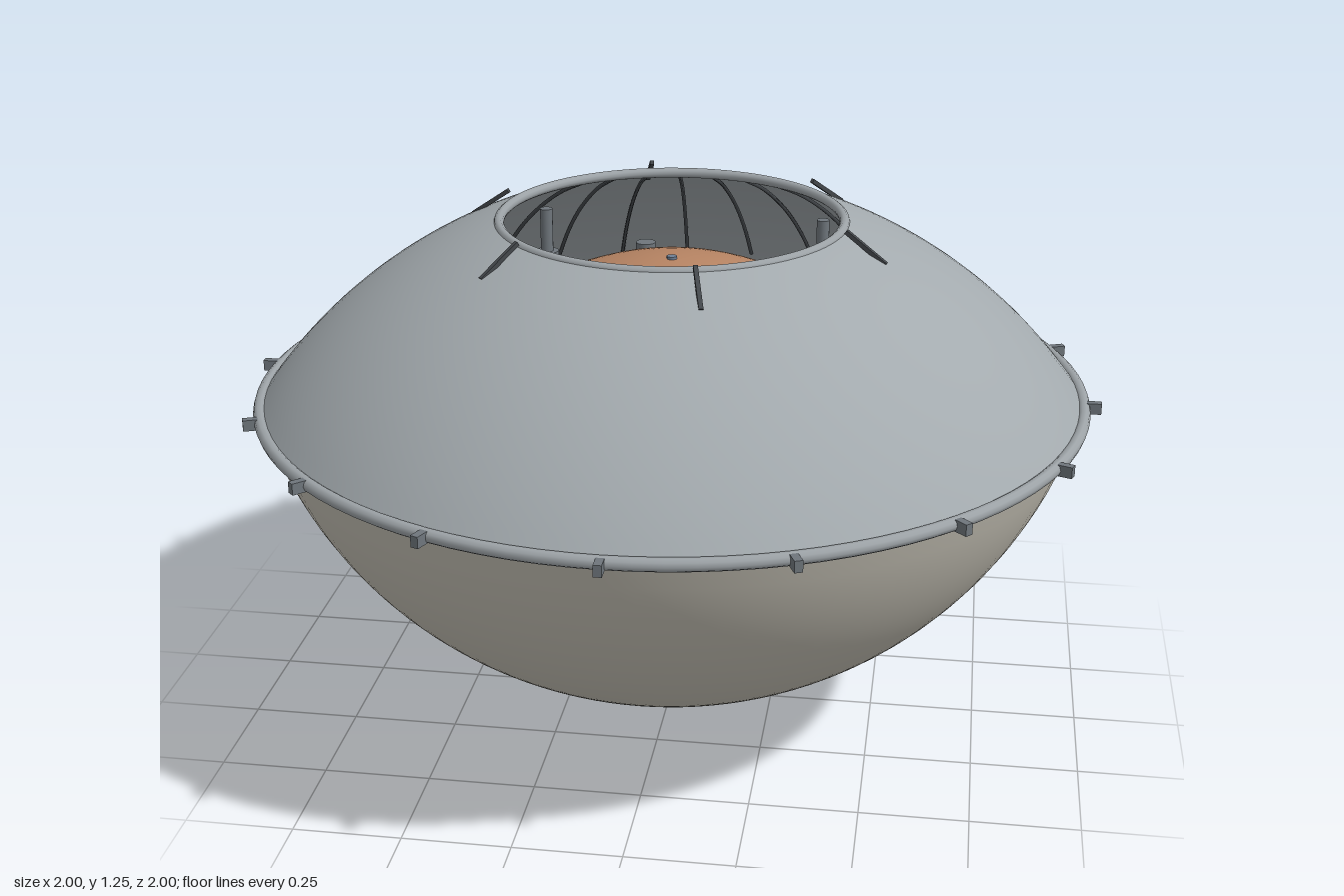
import * as THREE from 'three';

const mat = (name, color, double = false) => {
  const m = new THREE.MeshStandardMaterial({ color });
  m.name = name;
  if (double) m.side = THREE.DoubleSide;
  return m;
};

export function createModel() {
  const model = new THREE.Group();
  model.name = 'domedVessel';
  const shellGrey = mat('shellGrey', 0xa3aaae, true);
  const bowlCream = mat('bowlCream', 0xc4c0b4, true);
  const copper = mat('copper', 0xb78463, true);
  const metal = mat('ringMetal', 0x9da3a7);
  const dark = mat('darkMetal', 0x6f767c);
  const spikeDark = mat('spikeDark', 0x44484c);
  const blue = mat('blueGrey', 0x6f8096);

  const add = (name, geometry, material, x = 0, y = 0, z = 0, parent = model) => {
    const mesh = new THREE.Mesh(geometry, material);
    mesh.name = name;
    mesh.position.set(x, y, z);
    parent.add(mesh);
    return mesh;
  };
  // Revolve y = f(r) between two radii
  const revolve = (f, r0, r1, steps = 32) => {
    const pts = [];
    for (let i = 0; i <= steps; i++) {
      const r = r0 + (r1 - r0) * i / steps;
      pts.push(new THREE.Vector2(r, f(r)));
    }
    return new THREE.LatheGeometry(pts, 96);
  };
  const ring = (name, radius, tube, y, material) => {
    const t = add(name, new THREE.TorusGeometry(radius, tube, 10, 96), material, 0, y, 0);
    t.rotation.x = Math.PI / 2;
  };
  // Group turned about the axis so its +x points along the angle (x towards z)
  const spoke = (name, angle) => {
    const g = new THREE.Group();
    g.name = name;
    g.rotation.y = -angle;
    model.add(g);
    return g;
  };

  // Shell profiles
  const bowlY = r => 1.09 - Math.sqrt(0.99 ** 2 - r * r);
  const shellY = r => 0.1156 + Math.sqrt(1.4125 - r * r);
  const floorY = r => 0.82 + 0.1575 * (1 + Math.cos(Math.PI * r / 0.93));

  add('lowerBowl', revolve(bowlY, 0, 0.95, 48), bowlCream);
  add('upperShell', revolve(shellY, 0.95, 0.4), shellGrey);
  add('copperMembrane', revolve(floorY, 0.93, 0), copper);
  ring('rimRing', 0.96, 0.015, 0.82, metal);
  ring('openingRing', 0.395, 0.012, 1.23, metal);
  ring('membraneRing', 0.915, 0.012, 0.835, metal);

  // Clamps around the rim
  for (let i = 0; i < 16; i++) {
    const g = spoke('rimClamp', i * Math.PI / 8);
    add('clampBlock', new THREE.BoxGeometry(0.036, 0.026, 0.018), dark, 0.982, 0.82, 0, g);
  }

  // Sloping spikes around the opening
  for (let i = 0; i < 6; i++) {
    const g = spoke('openingSpike', Math.PI / 12 + i * Math.PI / 3);
    const s = add('spikeRod', new THREE.BoxGeometry(0.115, 0.01, 0.01), spikeDark, 0.467, 1.217, 0, g);
    s.rotation.z = -0.6;
  }

  // Thin ribs inside the upper shell
  const ribPath = new THREE.CatmullRomCurve3([0.42, 0.55, 0.7, 0.82, 0.91].map(
    r => new THREE.Vector3(r, shellY(r) - 0.012, 0)));
  const ribGeometry = new THREE.TubeGeometry(ribPath, 16, 0.005, 5);
  for (let i = 0; i < 32; i++) {
    add('innerRib', ribGeometry, spikeDark, 0, 0, 0, spoke('ribArm', (i + 0.5) * Math.PI / 16));
  }

  // Posts with stacked collars standing on the membrane
  for (let i = 0; i < 3; i++) {
    const g = spoke('membranePost', Math.PI / 2 + i * Math.PI * 2 / 3);
    const base = floorY(0.385);
    add('postRod', new THREE.CylinderGeometry(0.015, 0.015, 0.17, 16), dark, 0.385, base + 0.08, 0, g);
    for (let k = 0; k < 3; k++) {
      add('postCollar', new THREE.CylinderGeometry(0.028, 0.028, 0.014, 20), dark, 0.385, base + 0.005 + k * 0.024, 0, g);
    }
  }

  // Small sensors on the membrane
  for (const [x, z] of [[-0.11, -0.31], [-0.1, 0.27], [0.4, 0.33]]) {
    add('membraneSensor', new THREE.CylinderGeometry(0.024, 0.024, 0.035, 20), dark, x, floorY(Math.hypot(x, z)) + 0.01, z);
  }
  add('centreStud', new THREE.CylinderGeometry(0.012, 0.012, 0.01, 16), blue, 0, floorY(0) + 0.001, 0);

  // Base fitting with three connectors below
  add('baseFitting', new THREE.CylinderGeometry(0.166, 0.166, 0.08, 64), metal, 0, 0.085, 0);
  add('roundConnector', new THREE.CylinderGeometry(0.029, 0.029, 0.06, 20), dark, 0.063, 0.03, 0);
  add('copperConnector', new THREE.CylinderGeometry(0.025, 0.025, 0.05, 6).toNonIndexed(), copper, 0, 0.033, -0.083);
  add('hexConnector', new THREE.CylinderGeometry(0.026, 0.026, 0.05, 6), dark, -0.063, 0.037, 0.01);

  return model;
}
